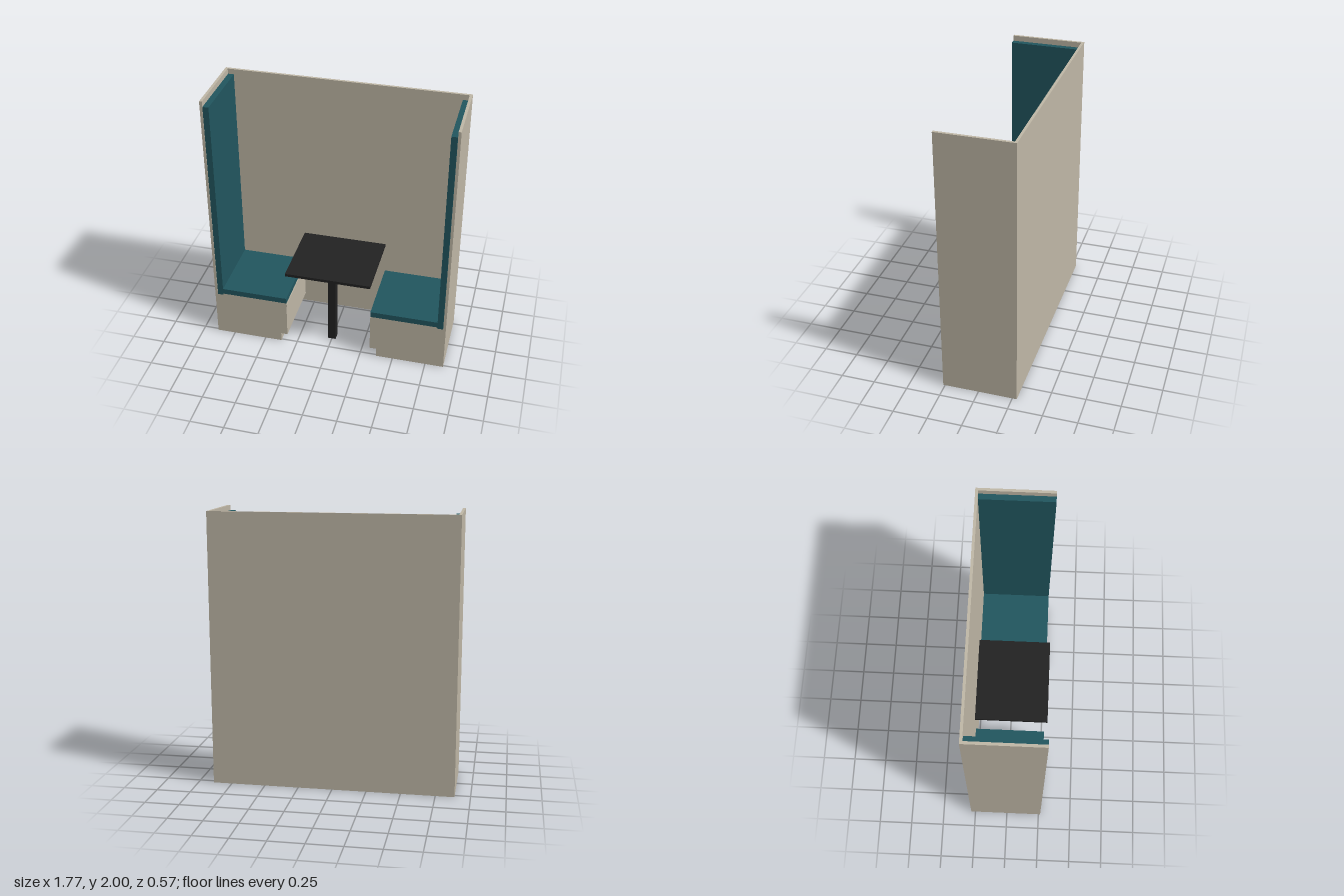
import * as THREE from 'three';

export function createModel() {
  const group = new THREE.Group();
  group.name = 'diningBooth';
  const mat = (name, color) => {
    const m = new THREE.MeshStandardMaterial({ color });
    m.name = name;
    return m;
  };
  const panel = mat('beige panel', 0xc0b8a7);
  const fabric = mat('teal upholstery', 0x21565f);
  const black = mat('black table', 0x222222);

  // Box given by its minimum and maximum along each axis
  const box = (parent, name, material, [x0, x1], [y0, y1], [z0, z1]) => {
    const mesh = new THREE.Mesh(new THREE.BoxGeometry(x1 - x0, y1 - y0, z1 - z0), material);
    mesh.position.set((x0 + x1) / 2, (y0 + y1) / 2, (z0 + z1) / 2);
    mesh.name = name;
    parent.add(mesh);
  };

  const H = 2, W = 0.887, BACK = -0.264, FRONT = 0.264, T = 0.016;
  const depth = [BACK, FRONT];

  for (const s of [1, -1]) {
    const side = new THREE.Group();
    side.name = s > 0 ? 'leftBench' : 'rightBench';
    group.add(side);
    // Mirrors an x range onto this side
    const mx = (a, b) => (s > 0 ? [a, b] : [-b, -a]);
    const add = (name, material, a, b, y, z = depth) => box(side, name, material, mx(a, b), y, z);

    // Tall walls
    add('backWall', panel, 0, W, [0, H], [-0.283, BACK]);
    add('sideWall', panel, 0.867, W, [0, H]);

    // Upholstery
    add('backCushion', fabric, 0.823, 0.866, [0.36, 1.96]);
    add('seatCushion', fabric, 0.323, 0.823, [0.371, 0.415]);

    // Seat boards
    add('seatBoard', panel, 0.32, 0.867, [0.34, 0.36]);
    add('cushionBase', panel, 0.323, 0.823, [0.36, 0.371]);

    // Bench box with end panels and a raised floor
    add('outerEnd', panel, 0.867 - T, 0.867, [0, 0.34]);
    add('innerEnd', panel, 0.323, 0.323 + T, [0.07, 0.34]);
    add('boxFloor', panel, 0.323 + T, 0.867 - T, [0.07, 0.086], [BACK + T, FRONT - T]);

    // Front and rear panels, notched for the toe kick
    const notched = new THREE.Shape([
      [0.373, 0], [0.867 - T, 0], [0.867 - T, 0.34],
      [0.323 + T, 0.34], [0.323 + T, 0.07], [0.373, 0.07],
    ].map(([x, y]) => new THREE.Vector2(s * x, y)));
    for (const [name, z] of [['benchFront', FRONT - T], ['benchRear', BACK]]) {
      const mesh = new THREE.Mesh(
        new THREE.ExtrudeGeometry(notched, { depth: T, bevelEnabled: false }), panel);
      mesh.position.z = z;
      mesh.name = name;
      side.add(mesh);
    }

    // Toe kick and inner plinth rails
    add('toeKick', panel, 0.373, 0.373 + T, [0, 0.07], [BACK + T, FRONT - T]);
    add('plinthRailOuter', panel, 0.833, 0.851, [0, 0.07], [BACK + T, FRONT - T]);
    for (const z of [BACK + T, FRONT - 2 * T])
      add('plinthRail', panel, 0.389, 0.833, [0, 0.07], [z, z + T]);
  }

  // Table
  const table = new THREE.Group();
  table.name = 'table';
  group.add(table);
  box(table, 'tableTop', black, [-0.32, 0.32], [0.643, 0.665], [BACK, 0.283]);
  box(table, 'tablePost', black, [-0.03, 0.03], [0, 0.643], [0.09, 0.15]);

  return group;
}
